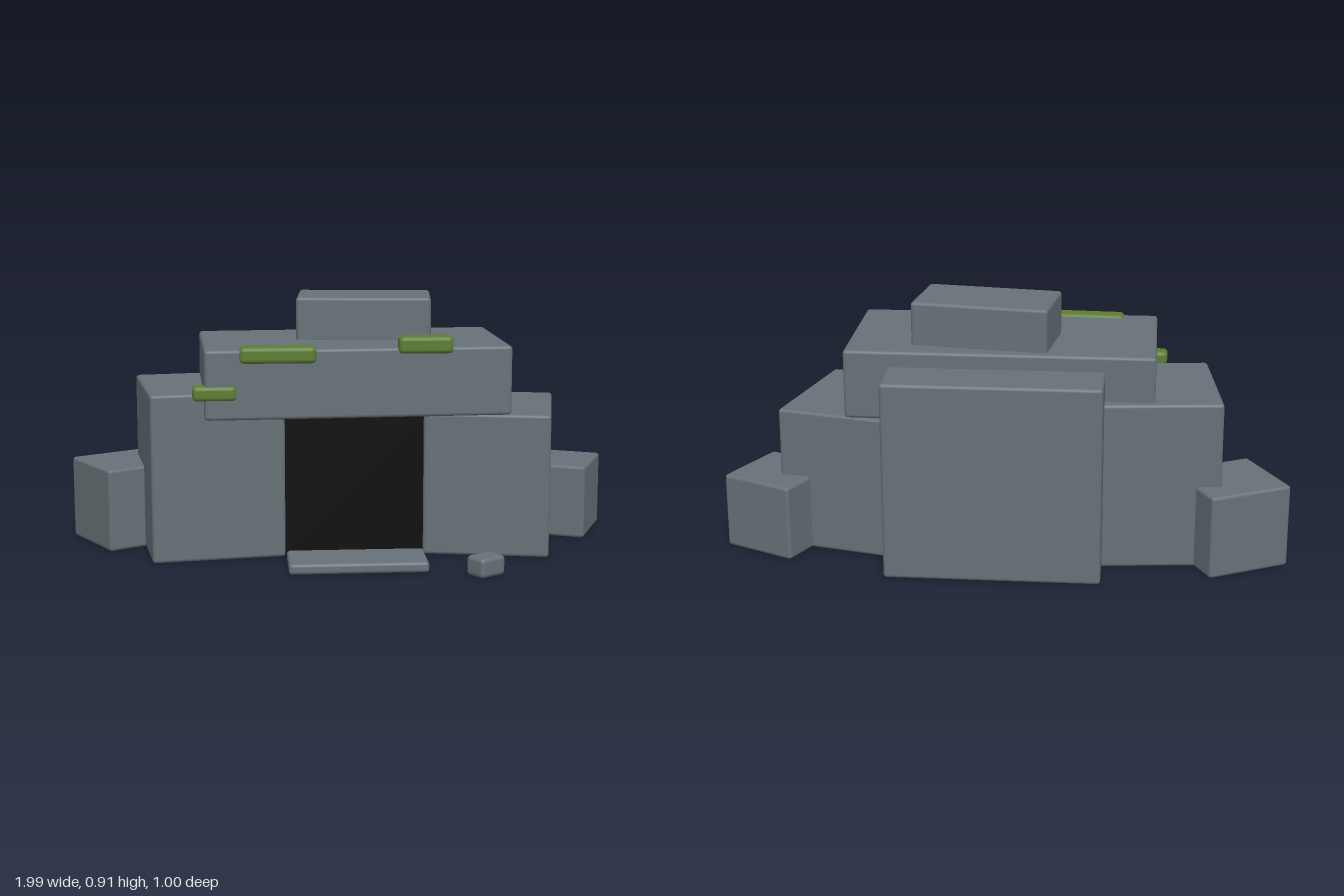
import * as THREE from 'three';
import { RoundedBoxGeometry } from 'three/addons/geometries/RoundedBoxGeometry.js';

export function createModel() {
  const model = new THREE.Group();
  model.name = 'stoneCaveEntrance';

  const paint = (name, color) => {
    const m = new THREE.MeshStandardMaterial({ color });
    m.name = name;
    return m;
  };
  const stone = paint('stone', 0x667177);
  const moss = paint('moss', 0x5e7d32);
  const dark = paint('darkness', 0x0a0a0a);

  // Softly bevelled block: centre x/z, bottom and top heights, turned about y
  const block = (name, material, [w, d], [x, z], [y0, y1], turn = 0, radius = 0.012) => {
    const h = y1 - y0;
    const mesh = new THREE.Mesh(new RoundedBoxGeometry(w, h, d, 2, radius), material);
    mesh.name = name;
    mesh.position.set(x, (y0 + y1) / 2, z);
    mesh.rotation.y = turn;
    model.add(mesh);
    return mesh;
  };

  // Main boulders
  block('rightWallBoulder', stone, [0.475, 0.485], [-0.49, -0.054], [0, 0.6], 0.145);
  block('leftWallBoulder', stone, [0.45, 0.5], [0.537, -0.053], [0, 0.515], -0.19);
  block('backBoulder', stone, [0.75, 0.4], [0.024, -0.288], [0, 0.705], 0.045);
  block('lintel', stone, [1.076, 0.535], [0.025, -0.03], [0.515, 0.76], 0.042);
  block('capStone', stone, [0.482, 0.266], [0.078, -0.11], [0.75, 0.912], -0.094);

  // Side rocks, doorstep and loose stone
  block('rightSideRock', stone, [0.31, 0.305], [-0.79, -0.165], [0, 0.3], 0.52);
  block('leftSideRock', stone, [0.28, 0.285], [0.818, -0.215], [0, 0.272], -0.4);
  block('doorstep', stone, [0.485, 0.2], [0.023, 0.3], [0, 0.038]);
  block('looseStone', stone, [0.11, 0.085], [0.455, 0.435], [0, 0.07], 0.6, 0.015);

  // Dark opening
  const opening = new THREE.Mesh(new THREE.BoxGeometry(0.52, 0.517, 0.24), dark);
  opening.name = 'caveOpening';
  opening.position.set(0.025, 0.2615, 0.02);
  model.add(opening);

  // Moss along the ledges
  block('mossMiddle', moss, [0.265, 0.07], [-0.248, 0.23], [0.712, 0.77], 0, 0.016);
  block('mossLeft', moss, [0.19, 0.07], [0.265, 0.23], [0.742, 0.802], 0, 0.016);
  block('mossRight', moss, [0.152, 0.065], [-0.467, 0.233], [0.583, 0.636], 0, 0.016);

  return model;
}
